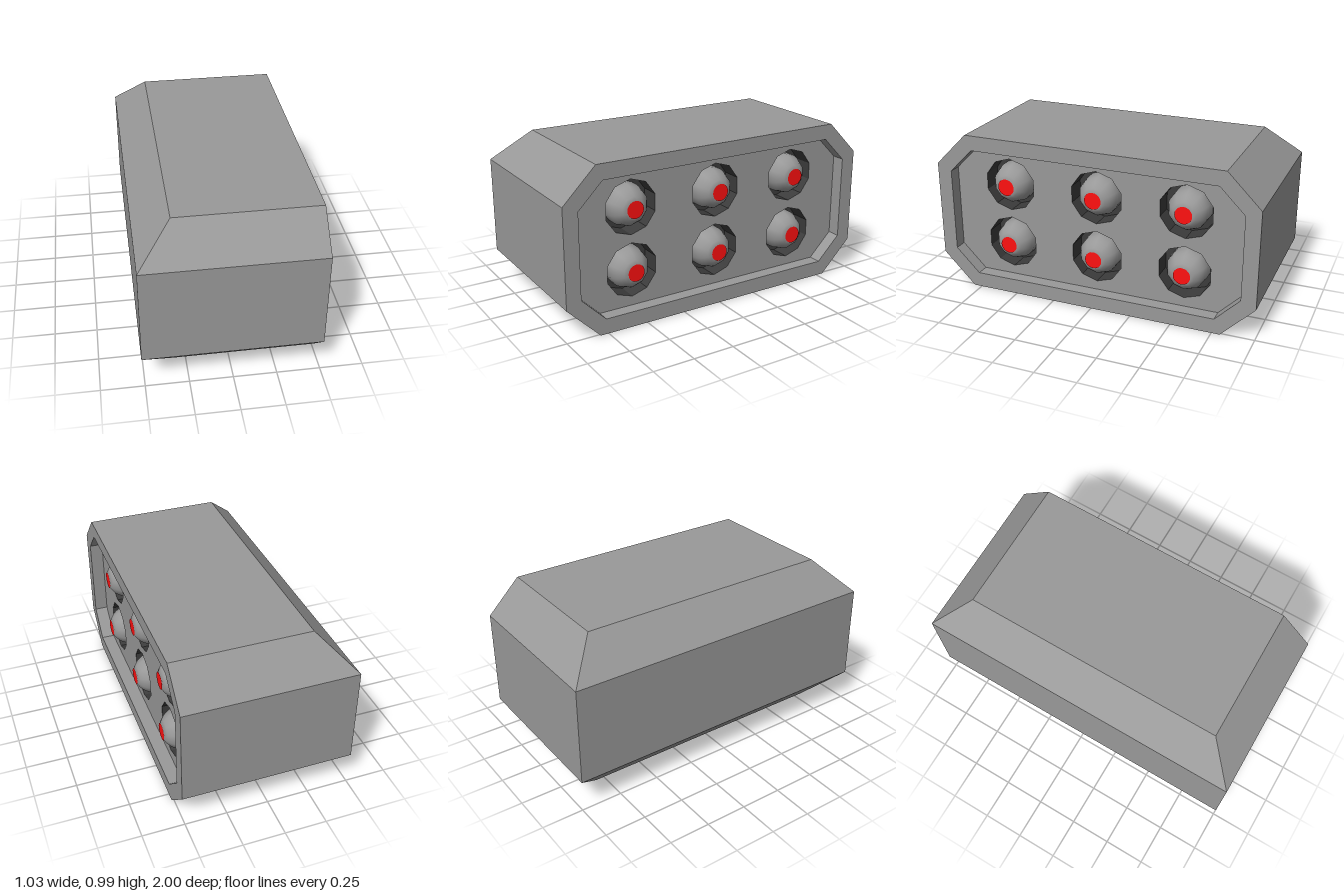
import * as THREE from 'three';

const grey = new THREE.MeshStandardMaterial({ color: 0x999999, flatShading: true });
const smoothGrey = new THREE.MeshStandardMaterial({ color: 0x999999 });
const dark = new THREE.MeshStandardMaterial({ color: 0x3c3c3c, flatShading: true, side: THREE.DoubleSide });
const red = new THREE.MeshStandardMaterial({ color: 0xff1010 });

const MID = 0.495, FRONT = 0.513, FLOOR = 0.433, HOLE = 0.163, DEPTH = 0.12;

// Chamfered rectangle in the zy plane
function octagon(x, hz, hy, c) {
  return [
    [hz - c, -hy], [hz, -hy + c], [hz, hy - c], [hz - c, hy],
    [-hz + c, hy], [-hz, hy - c], [-hz, -hy + c], [-hz + c, -hy],
  ].map(([z, y]) => new THREE.Vector3(x, MID + y, z));
}

// Faceted skin through matching loops, with the last loop closed
function loft(loops) {
  const pos = [];
  const tri = (a, b, c) => {
    if (new THREE.Triangle(a, b, c).getArea() > 1e-6) for (const p of [a, b, c]) pos.push(p.x, p.y, p.z);
  };
  for (let k = 0; k < loops.length - 1; k++) {
    const a = loops[k], b = loops[k + 1], n = a.length;
    for (let i = 0; i < n; i++) {
      const j = (i + 1) % n;
      tri(a[i], a[j], b[j]);
      tri(a[i], b[j], b[i]);
    }
  }
  const end = loops[loops.length - 1];
  for (let i = 1; i < end.length - 1; i++) tri(end[0], end[i], end[i + 1]);
  const g = new THREE.BufferGeometry();
  g.setAttribute('position', new THREE.Float32BufferAttribute(pos, 3));
  g.computeVertexNormals();
  return g;
}

function add(parent, name, geometry, material) {
  const mesh = new THREE.Mesh(geometry, material);
  mesh.name = name;
  parent.add(mesh);
}

export function createModel() {
  const model = new THREE.Group();
  model.name = 'launcherPod';

  // Casing: recess wall, rim, outer wall and hipped back end
  const back = octagon(-FRONT, 1, 0.495, 0.2);
  for (const p of back) {
    p.z = Math.sign(p.z);
    p.y = p.y > MID ? 0.79 : 0.2;
  }
  add(model, 'casing', loft([
    octagon(FLOOR, 0.91, 0.403, 0.148),
    octagon(FRONT, 0.91, 0.403, 0.148),
    octagon(FRONT, 1, 0.495, 0.2),
    octagon(-0.315, 1, 0.495, 0.2),
    back,
  ]), grey);

  const centres = [];
  for (const y of [0.31, 0.685]) for (const z of [-0.555, -0.008, 0.553]) centres.push([y, z]);

  // Recessed plate with ten-sided holes
  const plate = new THREE.Shape(octagon(0, 0.91, 0.403, 0.148).map(p => new THREE.Vector2(-p.z, p.y)));
  for (const [y, z] of centres) {
    const pts = [];
    for (let i = 0; i < 10; i++) {
      const a = i * Math.PI / 5;
      pts.push(new THREE.Vector2(-z + HOLE * Math.sin(a), y + HOLE * Math.cos(a)));
    }
    plate.holes.push(new THREE.Path(pts));
  }
  add(model, 'recessedPlate', new THREE.ShapeGeometry(plate).rotateY(Math.PI / 2).translate(FLOOR, 0, 0), grey);

  // Dark tube, rounded nose and red tip, turned to point along +x
  const tube = new THREE.CylinderGeometry(HOLE, HOLE, DEPTH, 10, 1, true, Math.PI / 2)
    .translate(0, -DEPTH / 2, 0).rotateZ(-Math.PI / 2);
  const tubeEnd = new THREE.CircleGeometry(HOLE, 10, Math.PI / 2).rotateY(Math.PI / 2).translate(-DEPTH, 0, 0);
  const profile = [new THREE.Vector2(0.125, -DEPTH)];
  for (let i = 0; i <= 6; i++) {
    const a = i / 6 * 1.14;
    profile.push(new THREE.Vector2(0.125 * Math.cos(a), -0.064 + 0.125 * Math.sin(a)));
  }
  profile.push(new THREE.Vector2(0, 0.051));
  const nose = new THREE.LatheGeometry(profile, 10, Math.PI / 2).rotateZ(-Math.PI / 2);
  const tip = new THREE.CircleGeometry(0.052, 20).rotateY(Math.PI / 2).translate(0.054, 0, 0);

  for (const [y, z] of centres) {
    const rocket = new THREE.Group();
    rocket.name = 'rocketTube';
    rocket.position.set(FLOOR, y, z);
    add(rocket, 'tubeWall', tube, dark);
    add(rocket, 'tubeEnd', tubeEnd, dark);
    add(rocket, 'rocketNose', nose, smoothGrey);
    add(rocket, 'redTip', tip, red);
    model.add(rocket);
  }
  return model;
}
